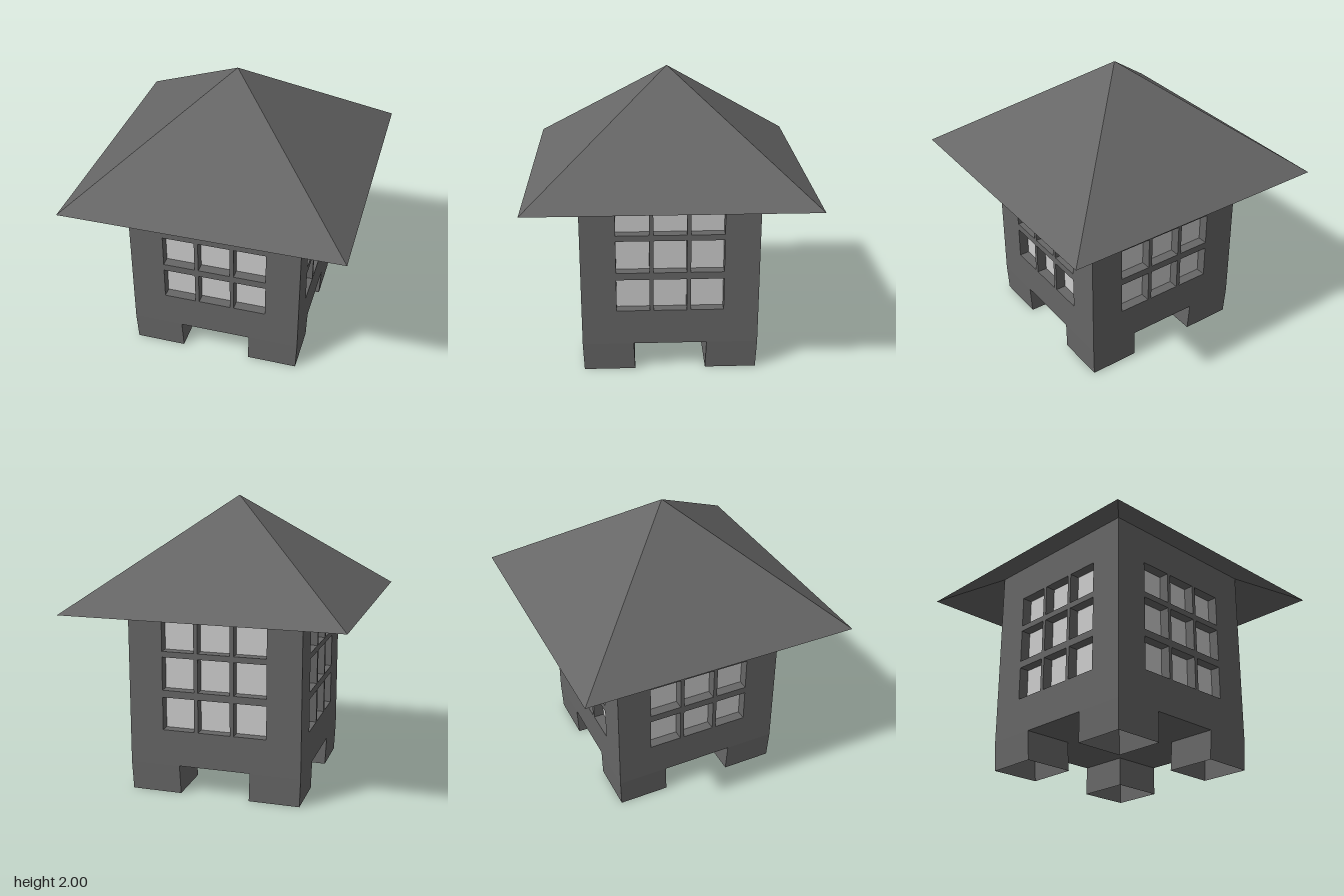
import * as THREE from 'three';

const WALL = 0.6, FLOOR = 0.2, WALL_TOP = 1.46, EAVE = 1.28, DEPTH = 0.07;

// Open four-sided tube or pyramid with flat faces; half sizes at top and bottom
function squareTube(top, bottom, height) {
  const g = new THREE.CylinderGeometry(top * Math.SQRT2, bottom * Math.SQRT2, height, 4, 1, true)
    .rotateY(Math.PI / 4).toNonIndexed();
  g.computeVertexNormals();
  return g;
}

function rectPath(target, x0, y0, x1, y1) {
  target.moveTo(x0, y0);
  target.lineTo(x1, y0);
  target.lineTo(x1, y1);
  target.lineTo(x0, y1);
  target.closePath();
  return target;
}

export function createModel() {
  const stone = new THREE.MeshStandardMaterial({ color: 0x666666, flatShading: true, side: THREE.DoubleSide });
  stone.name = 'dark grey';
  const glass = new THREE.MeshStandardMaterial({ color: 0xcccccc, flatShading: true, side: THREE.DoubleSide });
  glass.name = 'light grey';

  const model = new THREE.Group();
  model.name = 'lantern';
  const add = (parent, name, geometry, material, x = 0, y = 0, z = 0) => {
    const mesh = new THREE.Mesh(geometry, material);
    mesh.name = name;
    mesh.position.set(x, y, z);
    parent.add(mesh);
    return mesh;
  };

  // Window grid: three columns, three rows of [bottom, top]
  const columns = [[-0.363, -0.139], [-0.112, 0.112], [0.139, 0.363]];
  const rows = [[0.45, 0.68], [0.73, 0.96], [1.0, 1.215]];

  // Pierced wall sheet, shared by all four sides
  const wallShape = rectPath(new THREE.Shape(), -WALL, FLOOR, WALL, WALL_TOP);
  for (const [x0, x1] of columns)
    for (const [y0, y1] of rows)
      wallShape.holes.push(rectPath(new THREE.Path(), x0, y0, x1, y1));
  const wallGeometry = new THREE.ShapeGeometry(wallShape);
  const revealGeometry = squareTube(0.5, 0.5, 1).rotateX(Math.PI / 2);
  const paneGeometry = new THREE.PlaneGeometry(2 * (WALL - DEPTH), WALL_TOP - FLOOR);

  ['front', 'left', 'back', 'right'].forEach((side, i) => {
    const group = new THREE.Group();
    group.name = side + 'Side';
    group.rotation.y = i * Math.PI / 2;
    add(group, 'wall', wallGeometry, stone, 0, 0, WALL);
    for (const [x0, x1] of columns) {
      for (const [y0, y1] of rows) {
        add(group, 'windowReveal', revealGeometry, stone, (x0 + x1) / 2, (y0 + y1) / 2, WALL - DEPTH / 2)
          .scale.set(x1 - x0, y1 - y0, DEPTH);
      }
    }
    add(group, 'windowPane', paneGeometry, glass, 0, (FLOOR + WALL_TOP) / 2, WALL - DEPTH);
    model.add(group);
  });

  // Cross-shaped floor between the legs
  const a = 0.25, b = WALL;
  const cross = new THREE.Shape([
    [-a, -b], [a, -b], [a, -a], [b, -a], [b, a], [a, a],
    [a, b], [-a, b], [-a, a], [-b, a], [-b, -a], [-a, -a],
  ].map(([x, y]) => new THREE.Vector2(x, y)));
  add(model, 'floor', new THREE.ShapeGeometry(cross).rotateX(Math.PI / 2), stone, 0, FLOOR, 0);

  // Hollow corner legs, tapering slightly inwards at the foot
  const legGeometry = squareTube(0.175, 0.175, FLOOR);
  const p = legGeometry.attributes.position;
  for (let i = 0; i < p.count; i++) {
    if (p.getY(i) < 0) p.setXYZ(i, p.getX(i) - 0.008, p.getY(i), p.getZ(i) - 0.008);
  }
  legGeometry.computeVertexNormals();
  for (let i = 0; i < 4; i++) {
    const corner = new THREE.Group();
    corner.name = 'leg';
    corner.rotation.y = i * Math.PI / 2;
    add(corner, 'legShell', legGeometry, stone, 0.425, FLOOR / 2, 0.425);
    model.add(corner);
  }

  // Pyramid roof with a shallower hollow underside
  const roof = (name, apex) => add(model, name, squareTube(0, 0.945, apex - EAVE), stone, 0, (apex + EAVE) / 2, 0);
  roof('roof', 2);
  roof('roofUnderside', 1.77);

  return model;
}
